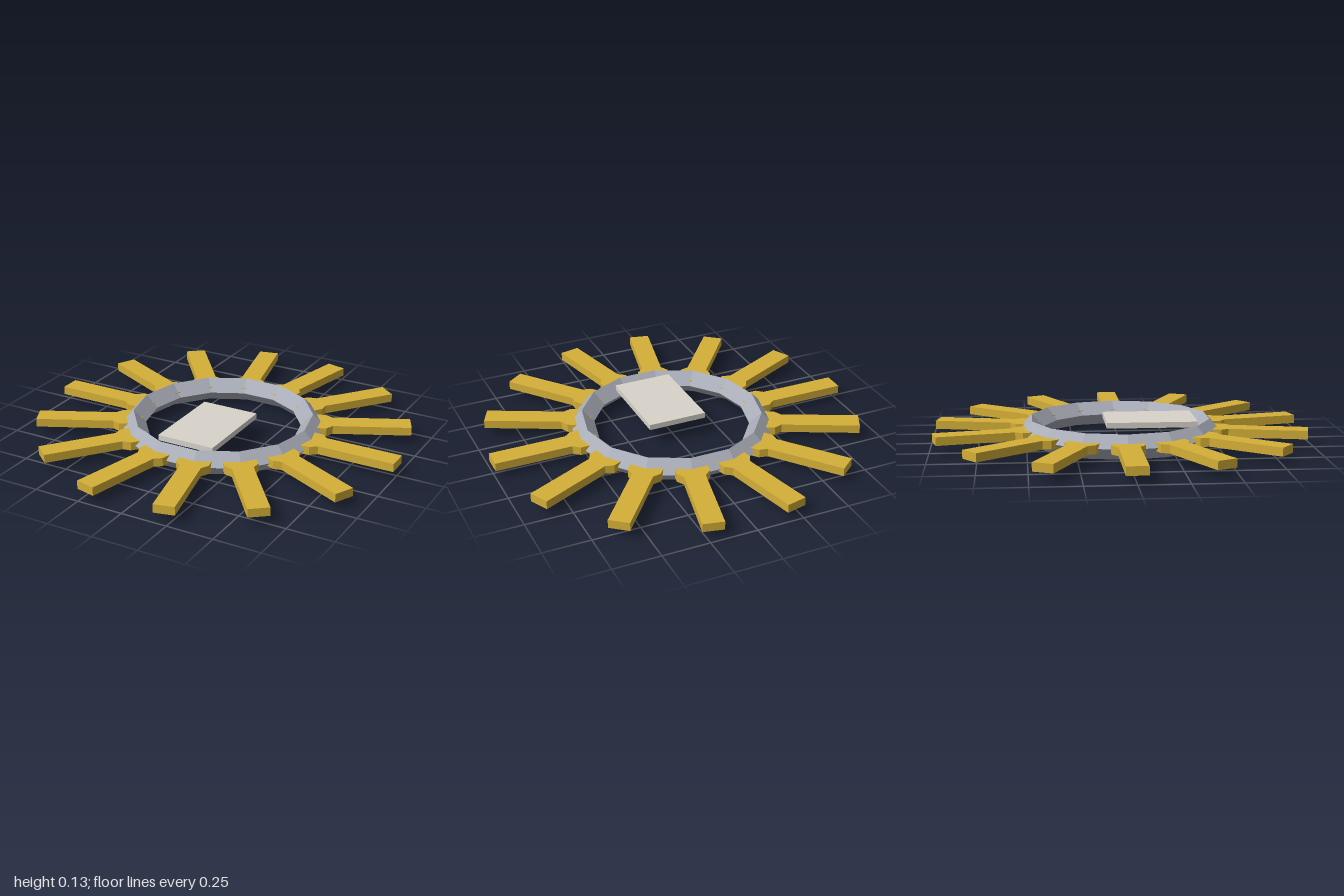
import * as THREE from 'three';

const RAYS = 14;
const MID_Y = 0.065; // height of the ring's widest line

const material = (color) => new THREE.MeshStandardMaterial({ color, flatShading: true });

// Flat outline of one ray along +x: flared foot, then a straight bar
function rayGeometry() {
  const half = [[0.435, 0.088], [0.55, 0.085], [0.585, 0.055], [1, 0.055]];
  const outline = [
    ...half.map(([x, w]) => new THREE.Vector2(x, -w)),
    ...half.slice().reverse().map(([x, w]) => new THREE.Vector2(x, w)),
  ];
  const depth = 0.045;
  const geo = new THREE.ExtrudeGeometry(new THREE.Shape(outline), { depth, bevelEnabled: false });
  return geo.rotateX(-Math.PI / 2).translate(0, MID_Y + 0.002 - depth / 2, 0);
}

export function createModel() {
  const model = new THREE.Group();
  model.name = 'sunburstRing';

  // Diamond-section ring with one corner per ray
  const ringGeo = new THREE.TorusGeometry(0.48, 0.065, 4, RAYS).rotateX(Math.PI / 2);
  const ring = new THREE.Mesh(ringGeo, material(0xa9adb8));
  ring.name = 'ring';
  ring.position.y = MID_Y;
  model.add(ring);

  // Rays fanned evenly around the ring
  const rays = new THREE.Group();
  rays.name = 'rays';
  const geo = rayGeometry();
  const gold = material(0xd4af37);
  for (let i = 0; i < RAYS; i++) {
    const ray = new THREE.Mesh(geo, gold);
    ray.name = `ray${i + 1}`;
    ray.rotation.y = (i / RAYS) * Math.PI * 2;
    rays.add(ray);
  }
  model.add(rays);

  // Thin plate floating inside the ring, toward the front
  const plate = new THREE.Mesh(new THREE.BoxGeometry(0.32, 0.03, 0.48), material(0xd8d4cb));
  plate.name = 'plate';
  plate.position.set(0, 0.111, 0.16);
  model.add(plate);

  return model;
}
